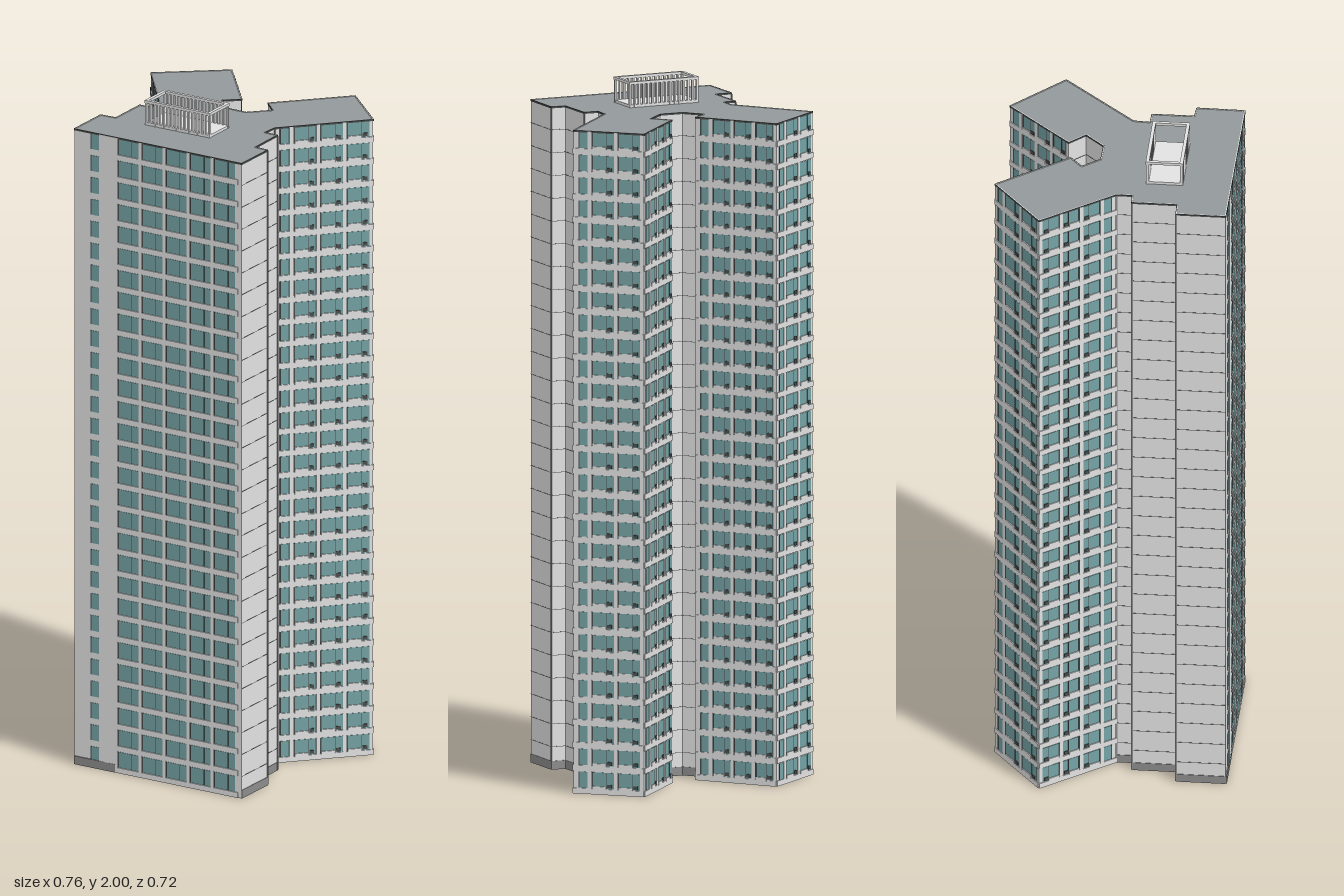
import * as THREE from 'three';
import { mergeGeometries } from 'three/addons/utils/BufferGeometryUtils.js';

const material = (name, color) => Object.assign(new THREE.MeshStandardMaterial({ color }), { name });
const wall = material('pale concrete', 0xe2e2e2);
const glass = material('teal glass', 0x74a2a4);
const roofGrey = material('roof grey', 0x939a9b);
const dark = material('dark trim', 0x4a4d4d);
const baseGrey = material('base grey', 0x8c8c8c);

const H = 1.925, FLOORS = 29, STEP = H / FLOORS;
const PANE = 0.047;

// Floor plan corners as [x, z], front edge first, then round by the right-hand wing
const plan = [
  [-0.35, 0.304], [0.214, 0.356], [0.227, 0.218], [0.184, 0.212], [0.193, 0.09], [0.15, 0.085],
  [0.157, 0.037], [0.375, -0.157], [0.235, -0.317], [0.042, -0.148], [0.083, -0.098], [0.023, -0.047],
  [-0.048, -0.055], [-0.086, -0.11], [-0.04, -0.142], [-0.182, -0.357], [-0.377, -0.23],
  [-0.236, -0.01], [-0.24, 0.037], [-0.277, 0.035], [-0.288, 0.165], [-0.338, 0.162],
];

function prism(points, height, y) {
  const shape = new THREE.Shape(points.map(([x, z]) => new THREE.Vector2(x, -z)));
  return new THREE.ExtrudeGeometry(shape, { depth: height, bevelEnabled: false })
    .rotateX(-Math.PI / 2).translate(0, y, 0);
}

// Box on a wall: u along it, v up, out = how far it stands proud
function panel(u, v, w, h, out) {
  return new THREE.BoxGeometry(w, h, out).translate(u, v, out / 2);
}

function addMesh(parent, name, geometries, mat) {
  if (!geometries.length) return;
  const mesh = new THREE.Mesh(mergeGeometries(geometries), mat);
  mesh.name = name;
  parent.add(mesh);
}

// Group whose x runs along wall i, y up and z outward
function wallFrame(i, name) {
  const [ax, az] = plan[i], [bx, bz] = plan[(i + 1) % plan.length];
  const g = new THREE.Group();
  g.name = name;
  g.position.set(ax, 0, az);
  g.rotation.y = Math.atan2(az - bz, bx - ax);
  g.userData.length = Math.hypot(bx - ax, bz - az);
  return g;
}

// Windowed wall: columns are [centre, width]
function facade(i, columns, from, to, balconies, mirror) {
  const g = wallFrame(i, 'windowWall');
  const L = g.userData.length;
  const panes = [], bands = [], frames = [], units = [];
  const at = u => (mirror ? L - u : u);
  for (let f = 0; f < FLOORS; f++) {
    const y = f * STEP + 0.0405;
    columns.forEach(([u, w]) => {
      panes.push(panel(at(u), y, w, PANE, 0.0012));
      // Dark jamb, and a slim mullion on the wide windows
      frames.push(panel(at(u - w / 2 + 0.002), y, 0.004, PANE, 0.0018));
      if (w > 0.05) {
        frames.push(panel(at(u + w * 0.17), y, 0.002, PANE, 0.0018));
        if (balconies) {
          bands.push(panel(at(u - w * 0.15), y - 0.022, w * 0.6, 0.01, 0.0042));
          units.push(panel(at(u + w * 0.3), y - 0.016, 0.014, 0.01, 0.0035));
        }
      }
    });
    bands.push(panel(at((from + to) / 2), f * STEP + 0.008, to - from, 0.016, 0.003));
  }
  // Piers between the columns
  columns.slice(1).forEach(([u, w], c) => {
    const a = columns[c][0] + columns[c][1] / 2, b = u - w / 2;
    bands.push(panel(at((a + b) / 2), H / 2, b - a, H, 0.003));
  });
  addMesh(g, 'windowPanes', panes, glass);
  addMesh(g, 'floorBandsAndPiers', bands, wall);
  addMesh(g, 'windowFrames', frames, dark);
  addMesh(g, 'coolingUnits', units, dark);
  return g;
}

// Wing wall: one narrow column followed by equal wide ones
function wingWall(i, wide, mirror) {
  const L = wallFrame(i, '').userData.length;
  const start = 0.05, pitch = (L - start - 0.006) / wide;
  const columns = [[0.029, 0.028]];
  for (let c = 0; c < wide; c++) columns.push([start + pitch * (c + 0.5), pitch - 0.011]);
  return facade(i, columns, 0, L, true, mirror);
}

// Blank wall with a hairline joint at each floor and a grey plinth
function blankWall(i) {
  const g = wallFrame(i, 'blankWall');
  const L = g.userData.length;
  const joints = [];
  for (let f = 1; f < FLOORS; f++) joints.push(panel(L / 2, f * STEP, L, 0.0012, 0.0008));
  addMesh(g, 'floorJoints', joints, dark);
  addMesh(g, 'plinth', [panel(L / 2, 0.0125, L, 0.025, 0.0015)], baseGrey);
  return g;
}

// Open slatted enclosure on the roof
function roofScreen() {
  const g = new THREE.Group();
  g.name = 'roofScreen';
  g.position.set(-0.073, H, 0.137);
  g.rotation.y = -0.085;
  const W = 0.22, D = 0.108, T = 0.01, top = 0.075;
  const box = (w, h, d, x, y, z) => new THREE.BoxGeometry(w, h, d).translate(x, y, z);
  const parts = [];
  for (const s of [-1, 1]) {
    const z = s * (D - T) / 2, x = s * (W - T) / 2;
    parts.push(box(W, 0.008, T, 0, top - 0.004, z), box(T, 0.008, D, x, top - 0.004, 0));
    for (let k = 0; k <= 15; k++) {
      parts.push(box(0.006, top - 0.008, T * 0.8, (k / 15 - 0.5) * (W - 0.008), (top - 0.008) / 2, z));
    }
  }
  addMesh(g, 'screenSlats', parts, wall);
  addMesh(g, 'screenFloor', [box(W - 0.004, 0.008, D - 0.004, 0, 0.004, 0)], wall);
  return g;
}

export function createModel() {
  const model = new THREE.Group();
  model.name = 'apartmentTower';

  // Tower shaft and roof deck
  addMesh(model, 'towerShaft', [prism(plan, H - 0.002, 0)], wall);
  addMesh(model, 'roofDeck', [prism(plan, 0.002, H - 0.002)], roofGrey);

  // Parapet: thin pale kerb with a dark line on its outer edge
  plan.forEach((p, i) => {
    const g = wallFrame(i, 'parapet');
    const L = g.userData.length;
    addMesh(g, 'kerb', [panel(L / 2, H, L, 0.003, 0.002).translate(0, 0, -0.002)], wall);
    addMesh(g, 'darkEdge', [panel(L / 2, H - 0.001, L, 0.005, 0.0018)], dark);
    model.add(g);
  });

  // Front: a narrow stair window, then five wide bays
  const front = [[0.07, 0.03]];
  for (let c = 0; c < 5; c++) front.push([0.183 + c * 0.0815, 0.071]);
  const frontWall = facade(0, front, 0.141, 0.555, false, false);
  addMesh(frontWall, 'frontPlinth', [panel(0.07, 0.0125, 0.14, 0.025, 0.0035)], baseGrey);
  model.add(frontWall);

  // Wings
  for (const [i, wide, mirror] of [[6, 3], [7, 2], [8, 3], [14, 3], [15, 2], [16, 3, true]]) {
    model.add(wingWall(i, wide, !!mirror));
  }

  // Stepped flanks and the rear recess
  for (const i of [1, 2, 3, 4, 5, 9, 10, 11, 12, 13, 17, 18, 19, 20, 21]) model.add(blankWall(i));

  // Grey joint strips at the flank steps
  for (const i of [2, 4, 6, 17, 19, 21]) {
    const [x, z] = plan[i];
    const strip = new THREE.BoxGeometry(0.004, H - 0.004, 0.006).translate(x, H / 2, z);
    addMesh(model, 'cornerStrip', [strip], baseGrey);
  }

  model.add(roofScreen());
  return model;
}
